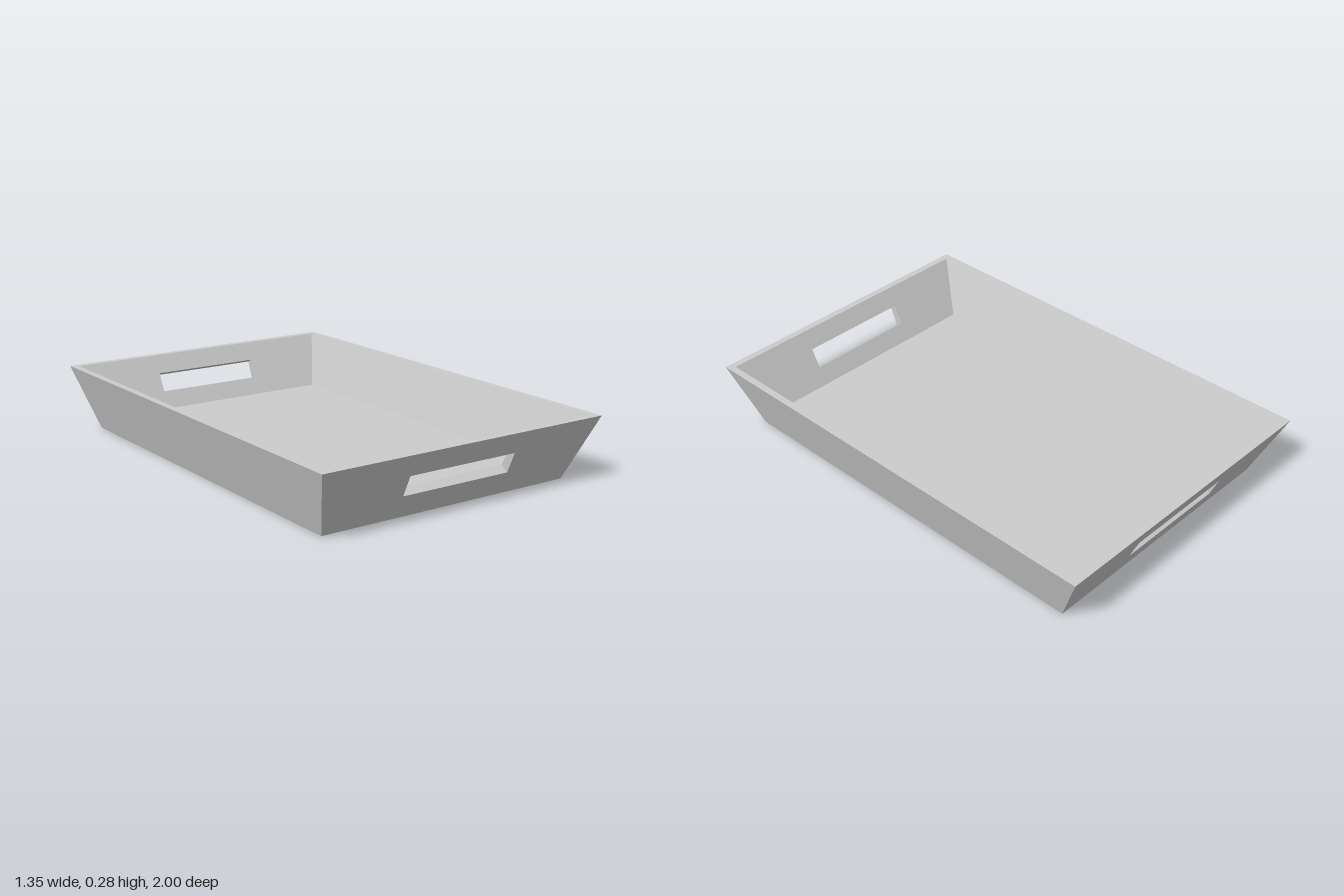
import * as THREE from 'three';

const H = 0.278, FLOOR = 0.047;
const material = new THREE.MeshStandardMaterial({ color: 0xcccccc, flatShading: true });

// Rectangular levels of the tray: half width x, half length z, height y
const outerBase = { x: 0.59, z: 0.875, y: 0 };
const outerTop = { x: 0.675, z: 1, y: H };
const innerTop = { x: 0.644, z: 0.97, y: H };
const innerFloor = { x: 0.562, z: 0.847, y: FLOOR };

// Horizontal corner loop, counter-clockwise seen from above
const level = ({ x, y, z }) => [[-x, y, z], [x, y, z], [x, y, -z], [-x, y, -z]];

// Front wall face between two levels, counter-clockwise seen from the front
const endFace = (lo, hi) => [[-lo.x, lo.y, lo.z], [lo.x, lo.y, lo.z], [hi.x, hi.y, hi.z], [-hi.x, hi.y, hi.z]];

// Side wall face between two levels, counter-clockwise seen from +x
const sideFace = (lo, hi) => [[lo.x, lo.y, lo.z], [lo.x, lo.y, -lo.z], [hi.x, hi.y, -hi.z], [hi.x, hi.y, hi.z]];

// Slot outline lying on the sloping end face between two levels
function slot(lo, hi, y0, y1, halfWidth = 0.255) {
  const at = (y) => ({ x: halfWidth, y, z: lo.z + (hi.z - lo.z) * (y - lo.y) / (hi.y - lo.y) });
  return endFace(at(y0), at(y1));
}

// Quads joining each loop of corners to the next
function bridge(...loops) {
  const quads = [];
  for (let i = 0; i < loops.length - 1; i++) {
    const a = loops[i], b = loops[i + 1];
    for (let k = 0; k < 4; k++) {
      const n = (k + 1) % 4;
      quads.push([a[k], a[n], b[n], b[k]]);
    }
  }
  return quads;
}

function addPart(group, name, quads, turn = 0) {
  const points = quads.flatMap(([a, b, c, d]) => [a, b, c, a, c, d]).flat();
  const geometry = new THREE.BufferGeometry();
  geometry.setAttribute('position', new THREE.Float32BufferAttribute(points, 3));
  geometry.computeVertexNormals();
  const mesh = new THREE.Mesh(geometry, material);
  mesh.name = name;
  mesh.rotation.y = turn;
  group.add(mesh);
}

export function createModel() {
  const tray = new THREE.Group();
  tray.name = 'servingTray';

  // Floor panel and underside
  addPart(tray, 'floor', [level(innerFloor), level(outerBase).reverse()]);

  // Flat rim around the top
  addPart(tray, 'rim', bridge(level(outerTop), level(innerTop)));

  // End walls: outer face, handle slot cut through, inner face
  const endWall = bridge(
    endFace(outerBase, outerTop),
    slot(outerBase, outerTop, 0.097, 0.185),
    slot(innerFloor, innerTop, 0.121, 0.2),
    endFace(innerFloor, innerTop),
  );
  addPart(tray, 'frontHandleWall', endWall);
  addPart(tray, 'backHandleWall', endWall, Math.PI);

  // Plain long walls, outer and inner faces
  const sideWall = [sideFace(outerBase, outerTop), sideFace(innerFloor, innerTop).reverse()];
  addPart(tray, 'leftWall', sideWall);
  addPart(tray, 'rightWall', sideWall, Math.PI);

  return tray;
}
